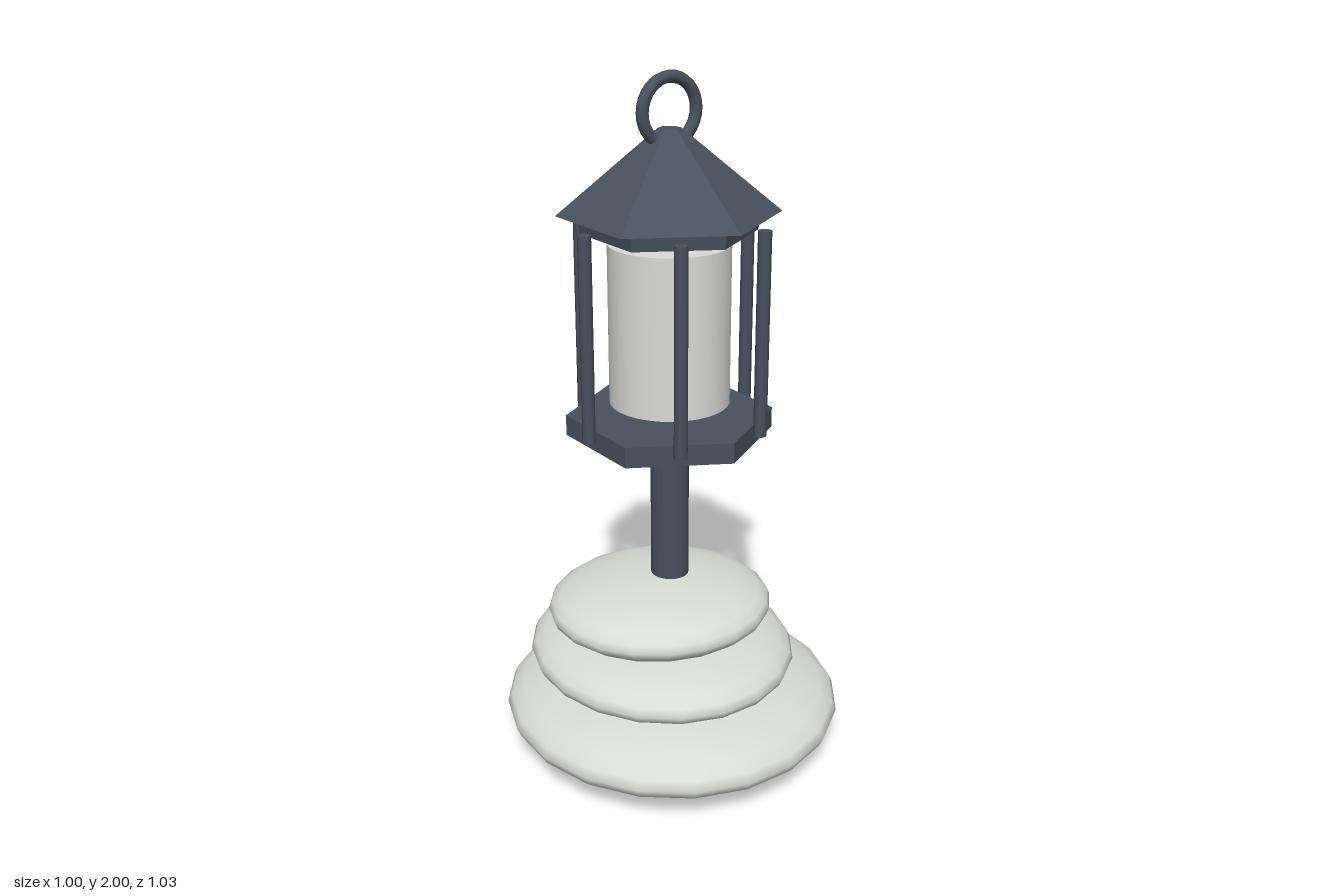
import * as THREE from 'three';

const metal = new THREE.MeshStandardMaterial({ name: 'slate metal', color: 0x48515e });
const stone = new THREE.MeshStandardMaterial({ name: 'pale stone', color: 0xd8dad6 });
const glass = new THREE.MeshStandardMaterial({ name: 'frosted glass', color: 0xdadbd8 });

const add = (parent, name, geometry, material, x, y, z) => {
  const mesh = new THREE.Mesh(geometry, material);
  mesh.name = name;
  mesh.position.set(x, y, z);
  parent.add(mesh);
  return mesh;
};

// Six-sided prism with crisp flat faces
const hexPrism = (top, bottom, height) => {
  const g = new THREE.CylinderGeometry(top, bottom, height, 6).toNonIndexed();
  g.computeVertexNormals();
  return g;
};

export function createModel() {
  const model = new THREE.Group();
  model.name = 'gardenLantern';

  // Stacked flattened stones: centre, then half sizes
  const stones = [
    ['bottomStone', [0, 0.125, 0], [0.503, 0.122, 0.518]],
    ['middleStone', [-0.025, 0.295, -0.022], [0.392, 0.1, 0.428]],
    ['topStone', [-0.03, 0.44, -0.02], [0.337, 0.092, 0.316]],
  ];
  for (const [name, pos, size] of stones) {
    const mesh = add(model, name, new THREE.SphereGeometry(1, 20, 14), stone, ...pos);
    mesh.scale.set(...size);
    mesh.rotation.y = 0.06;
  }

  // Lantern sits a little behind the centre, turned by fifteen degrees
  const lantern = new THREE.Group();
  lantern.name = 'lantern';
  lantern.position.set(0.004, 0, -0.027);
  lantern.rotation.y = Math.PI / 12;
  model.add(lantern);

  add(lantern, 'post', new THREE.CylinderGeometry(0.056, 0.056, 0.55, 20), metal, 0, 0.725, 0);
  add(lantern, 'floorPlate', hexPrism(0.297, 0.297, 0.06), metal, 0, 1.015, 0);
  add(lantern, 'glassCylinder', new THREE.CylinderGeometry(0.172, 0.172, 0.46, 32), glass, 0, 1.31, 0);
  add(lantern, 'collar', hexPrism(0.252, 0.245, 0.055), metal, 0, 1.5975, 0);
  add(lantern, 'roof', hexPrism(0.032, 0.31, 0.23), metal, 0, 1.735, 0);

  // Upright bars at the middle of each side
  for (let i = 0; i < 6; i++) {
    const a = (i + 0.5) * Math.PI / 3;
    add(lantern, 'bar', new THREE.CylinderGeometry(0.019, 0.019, 0.585, 8), metal,
      Math.sin(a) * 0.276, 1.3075, Math.cos(a) * 0.276);
  }

  // Hanging ring
  add(lantern, 'ring', new THREE.TorusGeometry(0.088, 0.017, 10, 32), metal, 0, 1.895, 0);

  return model;
}
